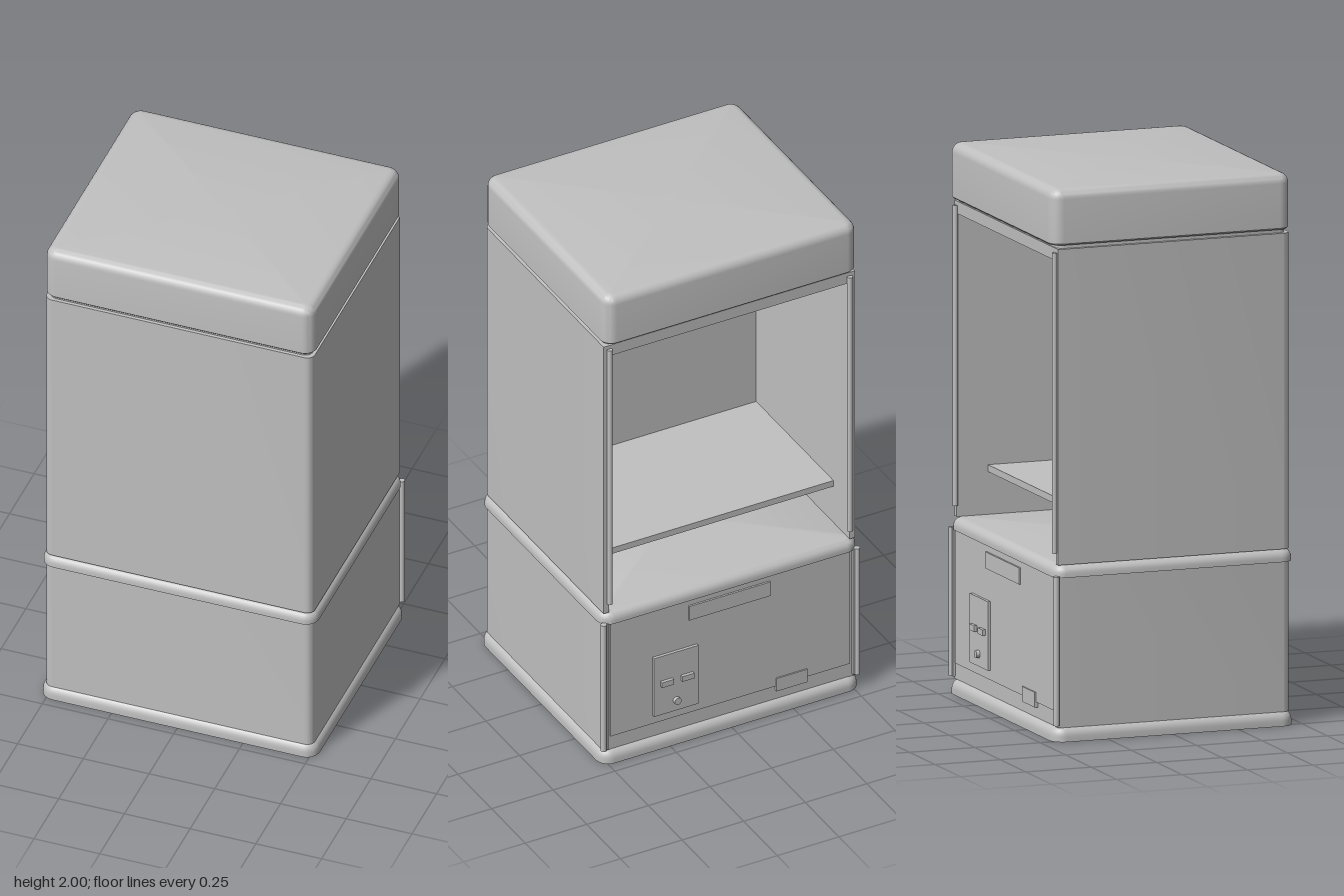
import * as THREE from 'three';
import { toCreasedNormals } from 'three/addons/utils/BufferGeometryUtils.js';

const grey = new THREE.MeshStandardMaterial({ color: 0xc0c0c0 });
grey.name = 'light grey';

// Rounded slab lofted through levels of [height, inset]
function slab(halfX, zBack, zFront, radius, levels) {
  const pos = [], index = [], seg = 8, n = 4 * (seg + 1);
  const zc = (zBack + zFront) / 2, halfZ = (zFront - zBack) / 2;
  for (const [y, inset] of levels) {
    const r = Math.max(radius - inset, 0.002);
    for (let c = 0; c < 4; c++) {
      const sx = c === 0 || c === 3 ? 1 : -1, sz = c < 2 ? 1 : -1;
      for (let i = 0; i <= seg; i++) {
        const a = (c + i / seg) * Math.PI / 2;
        pos.push(sx * (halfX - inset - r) + r * Math.cos(a), y, zc + sz * (halfZ - inset - r) + r * Math.sin(a));
      }
    }
  }
  const last = levels.length - 1;
  for (let l = 0; l < last; l++) {
    for (let i = 0; i < n; i++) {
      const a = l * n + i, b = l * n + (i + 1) % n;
      index.push(a, a + n, b + n, a, b + n, b);
    }
  }
  const bottom = pos.length / 3, top = bottom + 1;
  pos.push(0, levels[0][0], zc, 0, levels[last][0], zc);
  for (let i = 0; i < n; i++) {
    const j = (i + 1) % n;
    index.push(bottom, i, j, top, last * n + j, last * n + i);
  }
  const g = new THREE.BufferGeometry();
  g.setAttribute('position', new THREE.Float32BufferAttribute(pos, 3));
  g.setIndex(index);
  return toCreasedNormals(g.toNonIndexed(), 0.6);
}

// Levels of a quarter-round upper edge
function roundedTop(y0, y1, r, levels = [[y0, 0]]) {
  for (let i = 0; i <= 6; i++) {
    const a = i / 6 * Math.PI / 2;
    levels.push([y1 - r + r * Math.sin(a), r * (1 - Math.cos(a))]);
  }
  return levels;
}

// Upright body with rounded front corners; an inner front depth opens its back
function upright(halfX, zBack, zFront, r, y0, y1, innerX, innerFront) {
  const s = new THREE.Shape();
  s.moveTo(-halfX, -zBack);
  s.lineTo(-halfX, -zFront + r);
  s.absarc(-halfX + r, -zFront + r, r, Math.PI, Math.PI * 1.5, false);
  s.absarc(halfX - r, -zFront + r, r, Math.PI * 1.5, Math.PI * 2, false);
  s.lineTo(halfX, -zBack);
  if (innerX) {
    s.lineTo(innerX, -zBack);
    s.lineTo(innerX, -innerFront);
    s.lineTo(-innerX, -innerFront);
    s.lineTo(-innerX, -zBack);
  }
  const g = new THREE.ExtrudeGeometry(s, { depth: y1 - y0, bevelEnabled: false, curveSegments: 8 });
  g.rotateX(-Math.PI / 2).translate(0, y0, 0);
  return toCreasedNormals(g, 0.6);
}

export function createModel() {
  const model = new THREE.Group();
  model.name = 'cabinet';
  const add = (name, geometry) => {
    const m = new THREE.Mesh(geometry, grey);
    m.name = name;
    model.add(m);
    return m;
  };
  // Box given by its limits
  const box = (name, x0, x1, y0, y1, z0, z1) => add(name,
    new THREE.BoxGeometry(x1 - x0, y1 - y0, z1 - z0).translate((x0 + x1) / 2, (y0 + y1) / 2, (z0 + z1) / 2));
  const rod = (name, x, z, r, y0, y1) => add(name,
    new THREE.CylinderGeometry(r, r, y1 - y0, 16).translate(x, (y0 + y1) / 2, z));

  // Plinth, lower cabinet and waist moulding
  add('plinth', slab(0.525, -0.455, 0.466, 0.05, roundedTop(0, 0.055, 0.035, [[0, 0], [0.008, 0]])));
  add('lowerCabinet', upright(0.51, -0.435, 0.455, 0.03, 0.05, 0.6));
  add('waistMoulding', slab(0.522, -0.45, 0.466, 0.05, roundedTop(0.595, 0.64, 0.032)));

  // Upper cabinet, open at the back, with ceiling and shelf
  add('upperCabinet', upright(0.51, -0.435, 0.455, 0.03, 0.64, 1.785, 0.488, 0.26));
  add('neck', slab(0.497, -0.43, 0.442, 0.03, [[1.755, 0], [1.805, 0]]));
  box('openingHeader', -0.488, 0.488, 1.74, 1.785, -0.435, -0.42);
  box('shelf', -0.489, 0.489, 0.795, 0.82, -0.315, 0.265);

  // Top cap
  add('topCap', slab(0.512, -0.457, 0.457, 0.045, roundedTop(1.798, 2, 0.035, [[1.798, 0.006], [1.804, 0]])));

  // Door tracks above and hinge bars below
  for (const side of [-1, 1]) {
    rod('doorTrack', side * 0.487, -0.44, 0.01, 0.68, 1.77);
    rod('hingeBar', side * 0.514, -0.443, 0.011, 0.06, 0.6);
    box('hingeLeaf', side * 0.505 - 0.009, side * 0.505 + 0.009, 0.06, 0.6, -0.446, -0.43);
  }

  // Lower back door with its fittings
  box('lowerDoor', -0.485, 0.485, 0.11, 0.592, -0.442, -0.43);
  box('handlePlate', -0.16, 0.17, 0.51, 0.57, -0.449, -0.44);
  box('lowerTab', -0.31, -0.185, 0.09, 0.145, -0.447, -0.432);
  box('lockPlate', 0.135, 0.315, 0.145, 0.395, -0.453, -0.44);
  for (const x of [0.182, 0.265]) box('latch', x - 0.024, x + 0.024, 0.268, 0.29, -0.465, -0.45);
  add('keyhole', new THREE.CylinderGeometry(0.014, 0.014, 0.016, 20).rotateX(Math.PI / 2).translate(0.224, 0.19, -0.458));

  return model;
}
